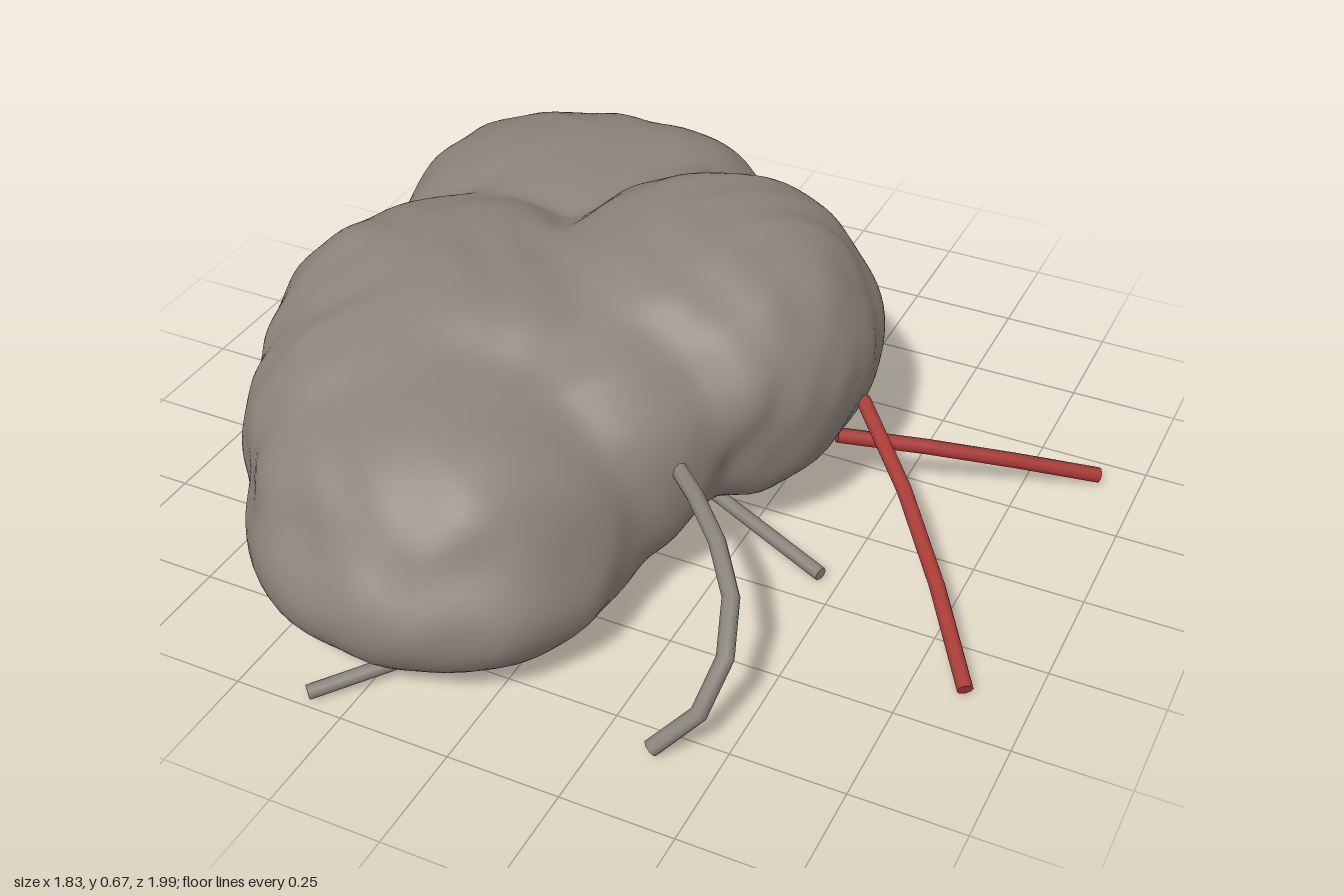
import * as THREE from 'three';
import { mergeVertices } from 'three/addons/utils/BufferGeometryUtils.js';

const mat = (name, color) => Object.assign(new THREE.MeshStandardMaterial({ color }), { name });

// Lobes of the body: centre, radii
const LOBES = [
  [[-0.47, 0.32, -0.44], [0.41, 0.245, 0.40]], // back
  [[-0.27, 0.315, -0.56], [0.235, 0.225, 0.255]], // back corner
  [[0.03, 0.355, -0.12], [0.40, 0.32, 0.42]], // middle
  [[-0.47, 0.31, 0.13], [0.41, 0.30, 0.43]], // left-hand hump
  [[-0.27, 0.23, 0.46], [0.43, 0.31, 0.43]], // front slope
  [[-0.26, 0.18, 0.64], [0.40, 0.18, 0.30]], // low front edge
  [[-0.46, 0.27, 0.36], [0.33, 0.29, 0.36]], // front corner
  [[-0.12, 0.33, -0.36], [0.28, 0.23, 0.25]], // bridge from back to middle
  [[-0.04, 0.30, 0.24], [0.28, 0.26, 0.28]], // bridge from middle to front
  [[-0.25, 0.32, 0.22], [0.30, 0.29, 0.30]], // saddle on top
];

// Soft union of slightly boxy ellipsoids; negative inside
function field(x, y, z) {
  const k = 0.016, e = 2.15;
  let sum = 0;
  for (const [c, r] of LOBES) {
    const q = Math.abs((x - c[0]) / r[0]) ** e + Math.abs((y - c[1]) / r[1]) ** e + Math.abs((z - c[2]) / r[2]) ** e;
    sum += Math.exp(-(q ** (1 / e) - 1) * 0.32 / k);
  }
  return -k * Math.log(sum + 1e-200) + bumps(x, y, z);
}

// Irregular dents and bulges, warped so that no rows show
function bumps(x, y, z) {
  const u = x + 0.08 * Math.sin(9 * z + 4 * y), w = z + 0.08 * Math.sin(8 * x - 5 * y + 2);
  return 0.007 * Math.sin(11 * u + 1) * Math.sin(12 * y + 7 * w)
    + 0.006 * Math.sin(13 * w + 5 * y) * Math.sin(9 * u + 2)
    + 0.006 * Math.sin(24 * u + 1) * Math.sin(22 * w + 2) * Math.sin(19 * y + 6 * x + 1);
}

// Push a fine sphere's vertices out to the lumpy surface
function bodyGeometry() {
  let g = new THREE.IcosahedronGeometry(1, 36);
  g.deleteAttribute('uv');
  g.deleteAttribute('normal');
  g = mergeVertices(g, 1e-5);
  const p = g.attributes.position;
  const o = new THREE.Vector3(-0.3, 0.3, 0.02);
  const d = new THREE.Vector3();
  const f = (t) => field(o.x + d.x * t, o.y + d.y * t, o.z + d.z * t);
  for (let i = 0; i < p.count; i++) {
    d.fromBufferAttribute(p, i).normalize();
    let hi = 0.1;
    while (hi < 1.4 && f(hi) < 0) hi += 0.02;
    let lo = hi - 0.02;
    for (let n = 0; n < 14; n++) {
      const m = (lo + hi) / 2;
      if (f(m) < 0) lo = m; else hi = m;
    }
    // flattened where it rests on the ground
    p.setXYZ(i, o.x + d.x * lo, Math.max(0.004, o.y + d.y * lo), o.z + d.z * lo);
  }
  g.computeVertexNormals();
  return g;
}

// Thin rod along points, with closed ends
function rod(name, pts, radius, material) {
  const group = new THREE.Group();
  group.name = name;
  const v = pts.map((a) => new THREE.Vector3(...a));
  const curve = new THREE.CatmullRomCurve3(v);
  group.add(new THREE.Mesh(new THREE.TubeGeometry(curve, pts.length, radius, 8), material));
  for (const t of [0, 1]) {
    const cap = new THREE.Mesh(new THREE.CircleGeometry(radius, 8), material);
    const dir = curve.getTangent(t).multiplyScalar(t ? 1 : -1);
    cap.position.copy(curve.getPoint(t));
    cap.quaternion.setFromUnitVectors(new THREE.Vector3(0, 0, 1), dir);
    group.add(cap);
  }
  group.children.forEach((m) => { m.name = name; });
  return group;
}

export function createModel() {
  const model = new THREE.Group();
  model.name = 'lumpyBody';
  const stone = mat('stone', 0x8c8279);
  const twig = mat('twig', 0x88837a);
  const red = mat('red', 0xa83a36);

  const body = new THREE.Mesh(bodyGeometry(), stone);
  body.name = 'body';
  model.add(body);

  // Red rods on the side and beneath
  const reds = [
    [[0.42, 0.27, -0.14], [0.64, 0.155, 0.085], [0.865, 0.02, 0.39]],
    [[0.37, 0.17, -0.12], [0.62, 0.11, -0.26], [0.905, 0.02, -0.43]],
    [[0.04, 0.11, -0.19], [-0.04, 0.02, -0.31]],
    [[-0.15, 0.12, -0.29], [-0.34, 0.02, -0.53]],
  ];
  reds.forEach((p, i) => model.add(rod('redRod' + (i + 1), p, 0.018, red)));

  // Grey twigs poking out at ground level
  const twigs = [
    [[-0.51, 0.1, -0.6], [-0.455, 0.02, -1.0]],
    [[-0.7, 0.07, -0.02], [-0.91, 0.02, -0.14]],
    [[-0.12, 0.06, 0.75], [-0.34, 0.02, 0.98]],
    [[0.15, 0.055, 0.06], [0.46, 0.02, 0.18]],
    [[-0.58, 0.05, 0.24], [-0.74, 0.02, 0.32]],
    [[0.1, 0.07, 0.24], [0.02, 0.02, 0.27]],
    [[-0.52, 0.1, -0.06], [-0.6, 0.02, -0.12]],
  ];
  twigs.forEach((p, i) => model.add(rod('twig' + (i + 1), p, 0.016, twig)));

  // Bent arm reaching down to the ground
  model.add(rod('bentArm', [[0.18, 0.345, 0.34], [0.32, 0.33, 0.47], [0.42, 0.27, 0.58],
    [0.46, 0.19, 0.69], [0.44, 0.1, 0.76], [0.36, 0.02, 0.82]], 0.019, twig));
  return model;
}
